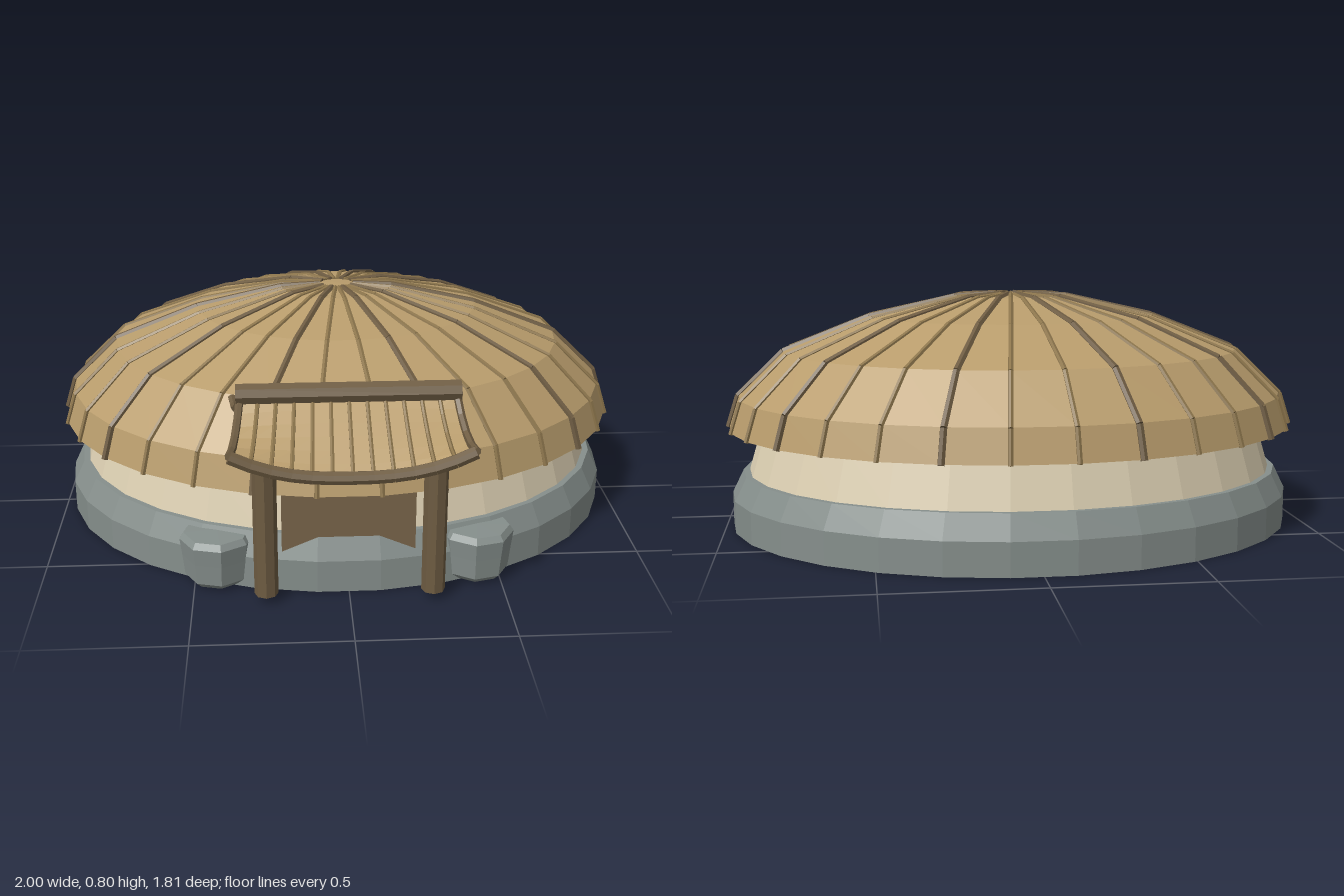
import * as THREE from 'three';
import { mergeGeometries } from 'three/addons/utils/BufferGeometryUtils.js';

const V = (x, y, z) => new THREE.Vector3(x, y, z);

function mat(name, color) {
  return new THREE.MeshStandardMaterial({ name, color, flatShading: true, side: THREE.DoubleSide });
}

const thatch = mat('thatch', 0xb89c6c);
const rib = mat('light wood', 0x8c754c);
const wood = mat('dark wood', 0x6e5c42);
const doorCloth = mat('door brown', 0x78644a);
const plaster = mat('plaster', 0xdccfb2);
const stone = mat('stone', 0x868f8c);

// Oval plan of the hut
const RX = 0.985, RZ = 0.808, CZ = -0.09, SIDES = 30;
// Roof outline as [radius ratio, height]
const roofProfile = [[1, 0.342], [0.965, 0.45], [0.805, 0.603], [0.505, 0.72], [0.2, 0.788], [0.06, 0.795]];

// Straight log between two points
function log(a, b, r, sides = 6) {
  const d = b.clone().sub(a);
  const g = new THREE.CylinderGeometry(r, r, d.length(), sides);
  g.applyQuaternion(new THREE.Quaternion().setFromUnitVectors(V(0, 1, 0), d.normalize()));
  return g.translate((a.x + b.x) / 2, (a.y + b.y) / 2, (a.z + b.z) / 2);
}

// Log that follows a run of points
function polyLog(points, r, sides) {
  return mergeGeometries(points.slice(1).map((p, i) => log(points[i], p, r, sides)));
}

function add(group, name, geometry, material) {
  const mesh = new THREE.Mesh(geometry, material);
  mesh.name = name;
  group.add(mesh);
  return mesh;
}

// Oval ring body from a [radius ratio, height] profile
function oval(profile) {
  const g = new THREE.LatheGeometry(profile.map(([r, y]) => new THREE.Vector2(r, y)), SIDES, Math.PI / 2);
  return g.scale(RX, 1, RZ).translate(0, 0, CZ);
}

// Point on the porch roof: u runs -1..1 across, t runs 0..1 from ridge to eave.
// The middle falls straight, the ends sag and then sweep up.
function porchPoint(u, t, side) {
  const [drop, reach] = side > 0 ? [0.165, 0.24] : [0.13, 0.14];
  const sweep = 0.075 * Math.abs(u) ** 2.6 * (2 * t * t - t);
  return V(u * (0.335 + 0.03 * t), 0.655 - drop * t + sweep, 0.647 + side * reach * t);
}

function porchSheet(side) {
  const nu = 12, nt = 6;
  const g = new THREE.PlaneGeometry(1, 1, nu, nt);
  const p = g.attributes.position;
  for (let i = 0; i < p.count; i++) {
    const q = porchPoint(side * (2 * (i % (nu + 1)) / nu - 1), Math.floor(i / (nu + 1)) / nt, side);
    p.setXYZ(i, q.x, q.y, q.z);
  }
  g.computeVertexNormals();
  return g;
}

export function createModel() {
  const model = new THREE.Group();
  model.name = 'roundHut';

  // Hut body
  add(model, 'stoneBase', oval([[0.995, 0], [0.995, 0.11], [0.955, 0.19], [0.915, 0.19]]), stone);
  add(model, 'plasterWall', oval([[0.935, 0.185], [0.885, 0.35], [0.82, 0.56]]), plaster);
  add(model, 'floor', oval([[0, 0.215], [0.92, 0.215]]), stone);
  add(model, 'thatchRoof', oval([[0.87, 0.355], ...roofProfile, [0, 0.797]]), thatch);

  // Roof ribs, every third one heavier
  const light = [], heavy = [];
  for (let i = 0; i < SIDES; i++) {
    const a = (i / SIDES) * Math.PI * 2;
    const pts = roofProfile.map(([r, y]) =>
      V(r * (RX + 0.003) * Math.cos(a), y - 0.002, CZ + r * (RZ + 0.003) * Math.sin(a)));
    if (i % 3 === 0) heavy.push(polyLog(pts, 0.012, 6));
    else light.push(polyLog(pts, 0.009, 6));
  }
  add(model, 'lightRoofRibs', mergeGeometries(light), rib);
  add(model, 'heavyRoofRibs', mergeGeometries(heavy), wood);

  // Door panel set into the wall
  add(model, 'door', new THREE.BoxGeometry(0.43, 0.25, 0.11).translate(0, 0.255, 0.625), doorCloth);

  // Porch
  const porch = new THREE.Group();
  porch.name = 'porch';
  model.add(porch);
  for (const s of [-1, 1]) {
    add(porch, s > 0 ? 'leftPost' : 'rightPost', log(V(s * 0.266, 0.028, 0.752), V(s * 0.266, 0.54, 0.752), 0.038, 8), wood);
  }
  add(porch, 'ridgeLog', log(V(-0.348, 0.668, 0.647), V(0.348, 0.668, 0.647), 0.034, 8), wood);
  for (const side of [1, -1]) {
    const label = side > 0 ? 'front' : 'back';
    add(porch, label + 'PorchRoof', porchSheet(side), thatch);
    const ribs = [], edges = [];
    for (let i = 0; i <= 12; i++) {
      const end = i % 12 === 0;
      const pts = [0, 0.25, 0.5, 0.75, 1].map((t) => porchPoint(i / 6 - 1, t, side).add(V(0, 0.002, 0)));
      (end ? edges : ribs).push(polyLog(pts, end ? 0.013 : 0.007, 6));
    }
    add(porch, label + 'PorchRibs', mergeGeometries(ribs), rib);
    add(porch, label + 'PorchEdges', mergeGeometries(edges), wood);
  }
  const eave = [];
  for (let i = 0; i <= 12; i++) eave.push(porchPoint(i / 6 - 1, 1, 1));
  add(porch, 'eaveLog', polyLog(eave, 0.021, 8), wood);

  // Boulders beside the entrance
  const outline = [[0, 0], [0.088, 0], [0.108, 0.02], [0.115, 0.09], [0.122, 0.15], [0.108, 0.17], [0, 0.172]];
  for (const s of [-1, 1]) {
    const g = new THREE.LatheGeometry(outline.map(([r, y]) => new THREE.Vector2(r, y)), 8, Math.PI / 8);
    const b = add(model, s > 0 ? 'leftBoulder' : 'rightBoulder', g, stone);
    b.position.set(s * 0.425, 0.005, 0.595);
    b.rotation.y = s * 0.25;
  }
  return model;
}
